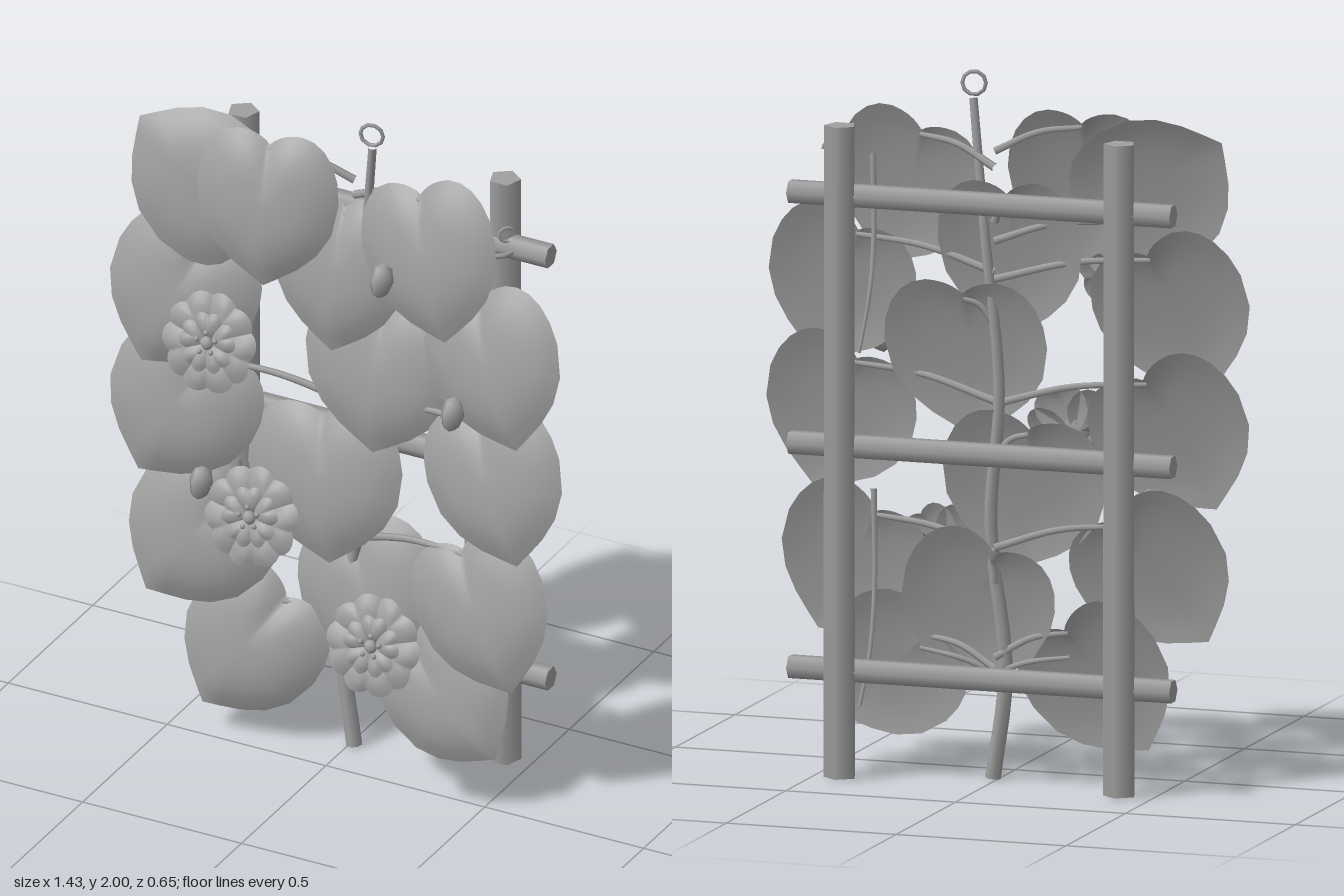
import * as THREE from 'three';

const grey = new THREE.MeshStandardMaterial({ color: 0xa0a0a0 });
grey.name = 'plain grey';

function add(parent, name, geometry, pos = [0, 0, 0], rot = [0, 0, 0], scale = [1, 1, 1]) {
  const m = new THREE.Mesh(geometry, grey);
  m.name = name;
  m.position.set(...pos);
  m.rotation.set(...rot);
  m.scale.set(...scale);
  parent.add(m);
  return m;
}

// Tube through points, tapering from r0 to r1
function strand(points, r0, r1, segs = 12, sides = 6) {
  const curve = new THREE.CatmullRomCurve3(points.map(p => new THREE.Vector3(...p)));
  const geo = new THREE.TubeGeometry(curve, segs, r0, sides);
  const p = geo.attributes.position, v = new THREE.Vector3();
  for (let i = 0; i < p.count; i++) {
    const u = Math.floor(i / (sides + 1)) / segs;
    const c = curve.getPointAt(u);
    v.fromBufferAttribute(p, i).sub(c).multiplyScalar(1 + (r1 / r0 - 1) * u).add(c);
    p.setXYZ(i, v.x, v.y, v.z);
  }
  return geo;
}

// Heart blade, tip down: bulging front, hollow back, made of shrinking outline rings
function heartGeometry(dome, steps = 5, rings = 6) {
  const s = new THREE.Shape();
  s.moveTo(0, -0.245);
  s.bezierCurveTo(0.06, -0.205, 0.222, -0.15, 0.224, 0.03);
  s.bezierCurveTo(0.224, 0.145, 0.165, 0.212, 0.1, 0.216);
  s.bezierCurveTo(0.05, 0.216, 0.02, 0.2, 0, 0.18);
  const half = s.getPoints(steps);
  const mirror = half.slice(1, -1).reverse().map(p => new THREE.Vector2(-p.x, p.y));
  const outline = half.concat(mirror), n = outline.length;
  const pos = [], idx = [];
  for (const side of [1, -1]) {
    const base = pos.length / 3;
    const height = (x, y, t) => {
      const h = dome * (1 - Math.pow(t, 3));
      const groove = 0.35 * Math.exp(-((x / 0.04) ** 2)) * Math.max(0, y) / 0.18;
      return side > 0 ? h * (1 - groove) : 0.4 * h;
    };
    pos.push(0, 0, height(0, 0, 0));
    for (let k = 1; k <= rings; k++) {
      const t = k / rings;
      for (const p of outline) pos.push(p.x * t, p.y * t, height(p.x * t, p.y * t, t));
    }
    const tri = (a, b, c) => side > 0 ? idx.push(a, b, c) : idx.push(a, c, b);
    for (let i = 0; i < n; i++) {
      const j = (i + 1) % n;
      tri(base, base + 1 + i, base + 1 + j);
      for (let k = 0; k < rings - 1; k++) {
        const a = base + 1 + k * n, b = a + n;
        tri(a + i, b + i, b + j);
        tri(a + i, b + j, a + j);
      }
    }
  }
  const g = new THREE.BufferGeometry();
  g.setAttribute('position', new THREE.Float32BufferAttribute(pos, 3));
  g.setIndex(idx);
  g.computeVertexNormals();
  return g;
}

// Open five-petalled flower facing +z
function makeFlower(petalGeo) {
  const f = new THREE.Group();
  f.name = 'flower';
  const ball = new THREE.SphereGeometry(1, 8, 6);
  for (let i = 0; i < 5; i++) {
    const arm = new THREE.Group();
    arm.name = 'petalPair';
    arm.rotation.z = i * Math.PI * 2 / 5;
    add(arm, 'outerPetal', petalGeo, [0, 0.075, 0], [0.2, 0, 0], [0.37, 0.31, 0.3]);
    const inner = new THREE.Group();
    inner.rotation.z = Math.PI / 5;
    inner.name = 'innerPart';
    add(inner, 'innerPetal', petalGeo, [0, 0.044, 0.014], [0.3, 0, 0], [0.21, 0.2, 0.25]);
    add(inner, 'anther', ball, [0, 0.03, 0.036], [0, 0, 0], [0.008, 0.008, 0.007]);
    arm.add(inner);
    f.add(arm);
  }
  add(f, 'flowerCentre', ball, [0, 0, 0.028], [0, 0, 0], [0.02, 0.02, 0.015]);
  add(f, 'calyx', new THREE.ConeGeometry(0.05, 0.025, 6), [0, 0, -0.016], [-Math.PI / 2, 0, 0]);
  return f;
}

export function createModel() {
  const model = new THREE.Group();
  model.name = 'flowering vine on trellis';

  // Trellis
  const railHeights = [0.3, 0.935, 1.645];
  const post = new THREE.CylinderGeometry(0.046, 0.048, 1.845, 5);
  const rail = new THREE.CylinderGeometry(0.035, 0.035, 1.128, 6);
  for (const x of [-0.405, 0.418]) {
    add(model, 'post', post, [x, 0.9225, -0.272], [0, Math.PI, 0]);
    for (const y of railHeights)
      add(model, 'tie', new THREE.TorusGeometry(0.05, 0.008, 5, 16), [x, y, -0.228], [Math.PI / 2, 0, 0]);
  }
  for (const y of railHeights) add(model, 'rail', rail, [0.009, y, -0.254], [0, 0, Math.PI / 2]);

  // Main stem with curled end
  const stem = [[0.015, 0, -0.14], [-0.025, 0.3, -0.15], [0.015, 0.72, -0.16], [-0.015, 1.1, -0.175],
    [0.03, 1.55, -0.17], [0.075, 1.92, -0.135]];
  add(model, 'stem', strand(stem, 0.023, 0.012, 32, 7));
  add(model, 'stemCurl', new THREE.TorusGeometry(0.033, 0.006, 5, 10), [0.075, 1.961, -0.13], [0, 0.2, 0]);

  // Leaves: x, y, z, roll of the tip away from straight down, width, length
  const leaves = [
    [-0.455, 1.69, -0.115, -2.2, 1, 1], [-0.225, 1.69, -0.075, 0.05, 0.95, 0.97], [0.285, 1.65, -0.085, 0.3, 1, 1],
    [-0.045, 1.49, -0.165, 0, 0.95, 1], [-0.5, 1.34, -0.08, -0.4, 1, 1], [0.49, 1.36, -0.08, 0.4, 1, 1],
    [0.085, 1.2, -0.165, 0, 1.07, 1], [-0.495, 0.99, -0.075, -0.45, 1.02, 1], [0.495, 0.995, -0.075, 0.4, 1.02, 1],
    [-0.075, 0.825, -0.14, 0.15, 1.08, 1], [-0.44, 0.595, -0.075, -0.6, 1, 1], [0.455, 0.575, -0.075, 0.5, 1, 1],
    [0.065, 0.48, -0.155, 0.4, 1, 1], [-0.278, 0.28, -0.08, -0.55, 0.94, 0.98], [0.34, 0.28, -0.085, 0.85, 0.96, 0.95],
  ];
  const leafGeo = heartGeometry(0.05);
  for (const [x, y, z, roll, w, l] of leaves) {
    const yaw = Math.abs(x) > 0.15 ? -Math.sign(x) * 0.1 : 0;
    add(model, 'leaf', leafGeo, [x, y, z], [-0.2, yaw, roll], [w, l, 1]);
    // Leaf stalk from the stem to the notch
    const nx = x - Math.sin(roll) * 0.16, ny = y + Math.cos(roll) * 0.16, nz = z - 0.03;
    const sy = Math.max(0.15, ny - 0.07);
    add(model, 'leafStalk', strand([[0, sy, -0.17], [nx * 0.5, (sy + ny) / 2 + 0.02, (nz - 0.17) / 2],
      [nx, ny, nz]], 0.012, 0.008));
  }

  // Tendrils reaching back to the posts
  for (const s of [-1, 1]) {
    add(model, 'tendril', strand([[s * 0.36, 1.75, -0.165], [s * 0.35, 1.5, -0.19],
      [s * 0.35, 1.35, -0.23], [s * 0.37, 1.2, -0.255]], 0.009, 0.005));
    add(model, 'lowTendril', strand([[s * 0.36, 0.8, -0.16], [s * 0.35, 0.55, -0.18],
      [s * 0.35, 0.35, -0.22], [s * 0.37, 0.2, -0.25]], 0.009, 0.005));
    add(model, 'backTwig', strand([[0, 0.3, -0.155], [s * 0.1, 0.34, -0.175], [s * 0.22, 0.36, -0.17]], 0.01, 0.006));
  }
  add(model, 'tendrilCurl', new THREE.TorusGeometry(0.022, 0.005, 5, 10, 5), [0.495, 1.75, -0.14], [0, 0.7, 0]);

  // Flowers
  const petalGeo = heartGeometry(0.08, 4, 4);
  for (const [x, y, z, spin] of [[-0.255, 1.38, 0.2, 0.1], [-0.083, 0.905, 0.272, 0.2], [0.27, 0.56, 0.217, 0]]) {
    const holder = new THREE.Group();
    holder.name = 'flowerHead';
    const flower = makeFlower(petalGeo);
    flower.rotation.z = Math.PI / 5 + spin;
    holder.add(flower);
    holder.position.set(x, y, z);
    holder.rotation.x = -0.3;
    model.add(holder);
  }

  // Buds
  const bud = new THREE.SphereGeometry(1, 5, 4);
  for (const [x, y, z] of [[0.182, 1.597, 0.015], [0.388, 1.21, -0.018], [-0.413, 0.775, -0.035], [0.06, 0.39, -0.003]])
    add(model, 'bud', bud, [x, y, z], [-0.15, 0, -0.1], [0.036, 0.054, 0.034]);

  return model;
}
